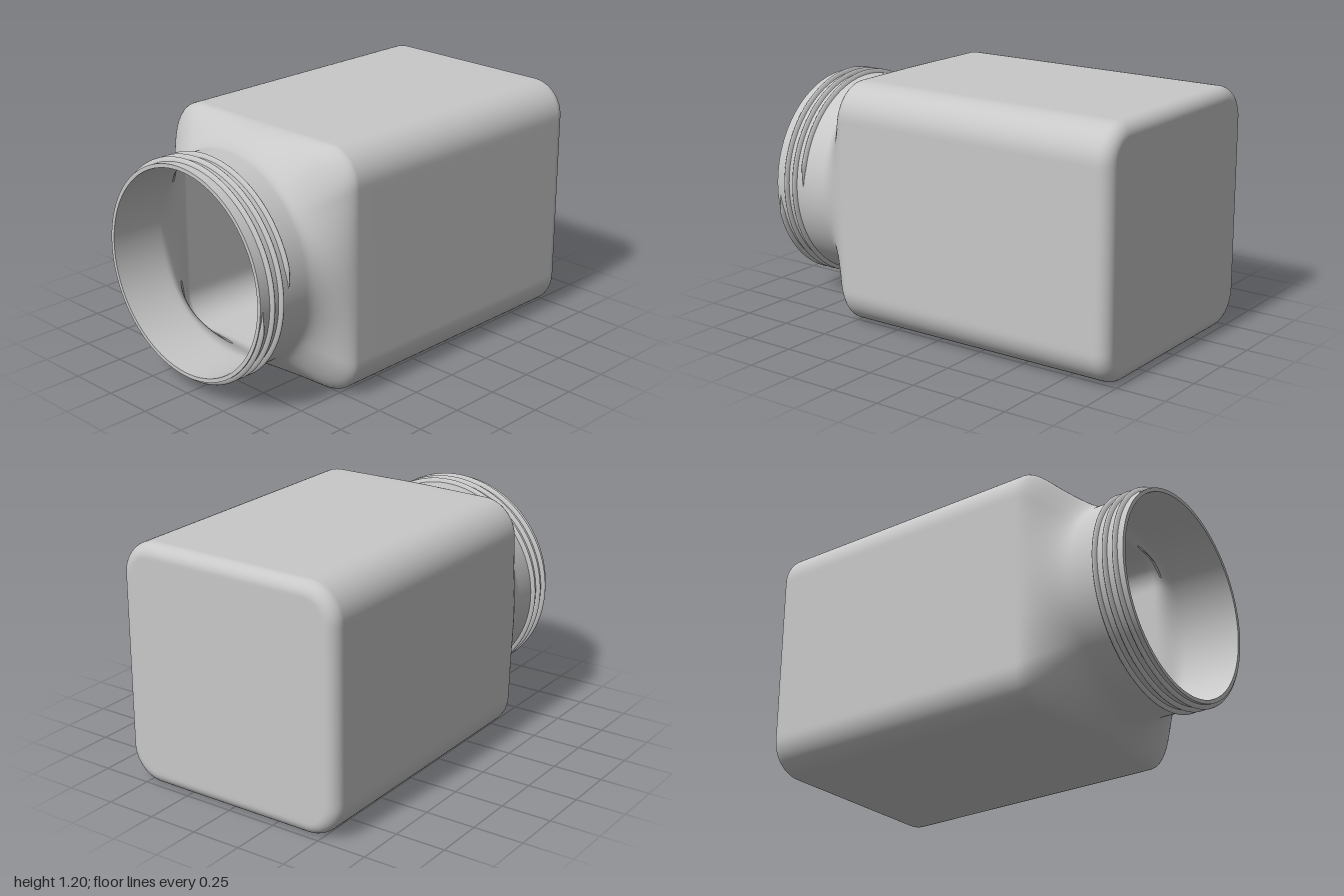
import * as THREE from 'three';

const SEG = 288;          // points around each cross-section
const CENTRE_Y = 0.598;   // height of the jar's axis, which runs along z

// Polar radius of a rounded square with half width h and corner radius r
function squareRadius(angle, h, r) {
  const quarter = Math.PI / 2;
  let a = angle % quarter;
  if (a > quarter / 2) a = quarter - a;
  if (Math.tan(a) * h <= h - r) return h / Math.cos(a);
  const c = h - r, d = c * (Math.cos(a) + Math.sin(a));
  return d + Math.sqrt(d * d - 2 * c * c + r * r);
}

// Joins rings of points; each ring is a function (j) => [x, y, z]
function loft(rings, count, closed) {
  const pos = [], idx = [];
  rings.forEach((ring) => { for (let j = 0; j < count; j++) pos.push(...ring(j)); });
  const steps = closed ? count : count - 1;
  for (let i = 0; i < rings.length - 1; i++) {
    for (let j = 0; j < steps; j++) {
      const k = (j + 1) % count;
      const a = i * count + j, b = i * count + k;
      const c = a + count, d = b + count;
      idx.push(a, b, d, a, d, c);
    }
  }
  const geo = new THREE.BufferGeometry();
  geo.setAttribute('position', new THREE.Float32BufferAttribute(pos, 3));
  geo.setIndex(idx);
  geo.computeVertexNormals();
  return geo;
}

// Cross-section at z, blending from rounded square (blend 0) to circle (blend 1)
function section(z, h, r, neck = 0, blend = 0, scale = 1) {
  return (j) => {
    const a = (j / SEG) * Math.PI * 2;
    const rho = scale * THREE.MathUtils.lerp(squareRadius(a, h, r), neck, blend);
    return [rho * Math.cos(a), rho * Math.sin(a), z];
  };
}

// One skin of the jar, from the middle of its base to the rim
function skin(half, corner, fillet, back, neck) {
  const rings = [];
  for (const s of [0, 0.5, 0.97]) rings.push(section(back, half - fillet, corner - fillet, 0, 0, s));
  for (let i = 0; i <= 10; i++) {
    const a = (i / 10) * Math.PI / 2, inset = fillet * (1 - Math.sin(a));
    rings.push(section(back + fillet * (1 - Math.cos(a)), half - inset, corner - inset));
  }
  for (const z of [-0.85, 0, 0.4]) rings.push(section(z, half, corner));
  for (let i = 0; i <= 20; i++) {
    const t = i / 20;
    rings.push(section(0.48 + 0.24 * t, half, corner, neck, t * t * (3 - 2 * t)));
  }
  for (const z of [0.75, 1]) rings.push(section(z, half, corner, neck, 1));
  return rings;
}

// Raised helix of three turns around the neck, tapered at both ends
function threadGeometry(radius) {
  const profile = [[-0.005, -0.013], [0.007, -0.01], [0.017, -0.005], [0.02, 0],
    [0.017, 0.005], [0.007, 0.01], [-0.005, 0.013]];
  const turns = 3, steps = 432, rings = [];
  for (let i = 0; i <= steps; i++) {
    const a = (i / steps) * turns * Math.PI * 2;
    const size = Math.min(1, i / 6, (steps - i) / 6);
    const z = 0.827 + 0.159 * (i / steps);
    rings.push((j) => {
      const rho = radius - 0.004 + (profile[j][0] + 0.004) * size;
      return [rho * Math.cos(a), rho * Math.sin(a), z + profile[j][1] * size];
    });
  }
  // ring order runs round the neck, so flip the profile to face outwards
  profile.reverse();
  return loft(rings, profile.length, false);
}

export function createModel() {
  const model = new THREE.Group();
  model.name = 'jar';
  const plastic = new THREE.MeshStandardMaterial({ color: 0xc8c8c8, side: THREE.DoubleSide });
  plastic.name = 'greyPlastic';

  function add(name, geometry) {
    const mesh = new THREE.Mesh(geometry, plastic);
    mesh.name = name;
    mesh.position.y = CENTRE_Y;
    model.add(mesh);
  }

  const outerNeck = 0.513, innerNeck = 0.494;

  // Outside: base, square body, shoulder and round neck
  add('outerShell', loft(skin(0.598, 0.17, 0.065, -1, outerNeck), SEG, true));

  // Inside: the same path with a thin wall, facing inwards
  add('innerShell', loft(skin(0.578, 0.15, 0.045, -0.98, innerNeck).reverse(), SEG, true));

  // Flat ring closing the wall at the mouth
  add('rim', new THREE.RingGeometry(innerNeck, outerNeck, SEG).translate(0, 0, 1));

  // Screw thread
  add('screwThread', threadGeometry(outerNeck));
  return model;
}
